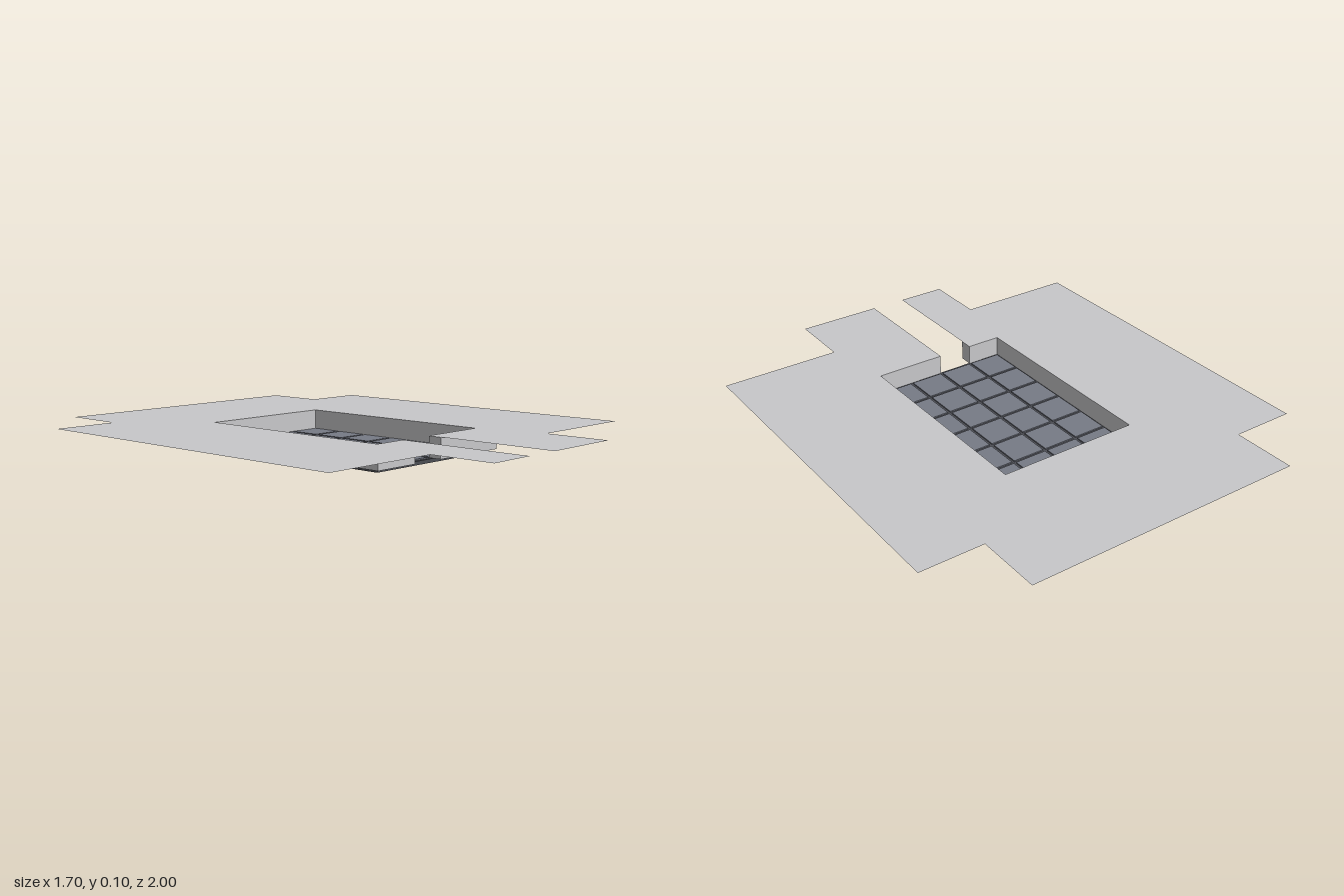
import * as THREE from 'three';

const TOP = 0.102;        // height of the flange sheet
const GAP = [-0.149, 0];  // slot through the front
const HOLE = { x: 0.294, z: 0.443 };

// Flat outline from [x, z] points
function outline(points) {
  return new THREE.Shape(points.map(([x, z]) => new THREE.Vector2(x, -z)));
}

// Slot and tray opening, continuing from the front edge at depth z
function opening(z) {
  return [
    [GAP[0], z], [GAP[0], HOLE.z], [-HOLE.x, HOLE.z], [-HOLE.x, -HOLE.z],
    [HOLE.x, -HOLE.z], [HOLE.x, HOLE.z], [GAP[1], HOLE.z], [GAP[1], z],
  ];
}

export function createModel() {
  const model = new THREE.Group();
  const panelGrey = new THREE.MeshStandardMaterial({ color: 0xc8c8ca, side: THREE.DoubleSide });
  const slabGrey = new THREE.MeshStandardMaterial({ color: 0x4b4d53 });
  const tileGrey = new THREE.MeshStandardMaterial({ color: 0x777b86 });

  const add = (name, geometry, material, parent = model) => {
    const mesh = new THREE.Mesh(geometry, material);
    mesh.name = name;
    parent.add(mesh);
    return mesh;
  };

  // Thin sheet with stepped corners, a front slot and the tray opening
  const sheet = outline([
    ...opening(1),
    [0.353, 1], [0.353, 0.735], [0.85, 0.735], [0.85, -0.737], [0.587, -0.737], [0.587, -1],
    [-0.587, -1], [-0.587, -0.737], [-0.85, -0.737], [-0.85, 0.735], [-0.353, 0.735], [-0.353, 1],
  ]);
  add('flangeSheet', new THREE.ShapeGeometry(sheet).rotateX(-Math.PI / 2), panelGrey).position.y = TOP;

  // Thick wall below the sheet, open at the slot
  const wall = outline([
    ...opening(0.5), [0.354, 0.5], [0.354, -0.5], [-0.354, -0.5], [-0.354, 0.5],
  ]);
  const wallBottom = 0.018;
  const wallGeometry = new THREE.ExtrudeGeometry(wall, { depth: TOP - 0.001 - wallBottom, bevelEnabled: false });
  add('trayWall', wallGeometry.rotateX(-Math.PI / 2), panelGrey).position.y = wallBottom;

  // Floor slab
  add('floorSlab', new THREE.BoxGeometry(0.606, 0.015, 0.904), slabGrey).position.y = 0.0075;

  // Floor tiles, 4 across and 6 deep
  const tiles = new THREE.Group();
  tiles.name = 'floorTiles';
  model.add(tiles);
  const pitch = 0.148, size = 0.136;
  const tile = new THREE.BoxGeometry(size, 0.006, size);
  for (let i = 0; i < 4; i++) {
    for (let j = 0; j < 6; j++) {
      add('floorTile', tile, tileGrey, tiles).position.set((i - 1.5) * pitch, 0.017, (j - 2.5) * pitch);
    }
  }
  return model;
}
